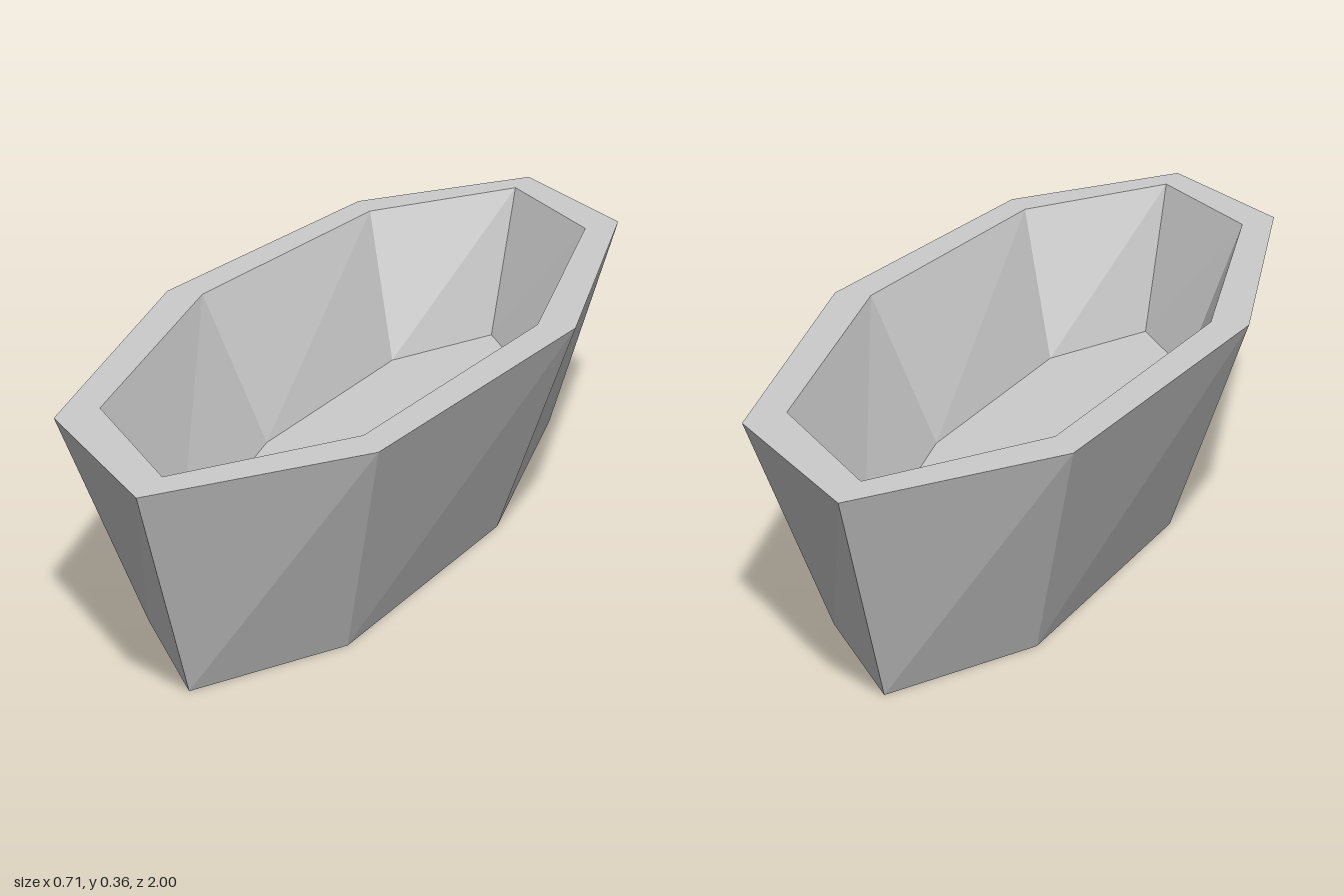
import * as THREE from 'three';

const SIDES = 8;
const HEIGHT = 0.357;
const FLOOR = 0.105;

// Eight-sided elliptical ring: half width, height, half length
function ring(rx, y, rz) {
  return Array.from({ length: SIDES }, (_, i) => {
    const a = (i / SIDES) * Math.PI * 2;
    return new THREE.Vector3(rx * Math.sin(a), y, rz * Math.cos(a));
  });
}

function facets(triangles) {
  const geometry = new THREE.BufferGeometry().setFromPoints(triangles);
  geometry.computeVertexNormals();
  return geometry;
}

// Band of faces joining two rings
function band(a, b) {
  const points = [];
  for (let i = 0; i < SIDES; i++) {
    const j = (i + 1) % SIDES;
    points.push(a[i], a[j], b[j], a[i], b[j], b[i]);
  }
  return facets(points);
}

// Flat lid across one ring
function cap(r, faceUp) {
  const points = [];
  for (let i = 1; i < SIDES - 1; i++) {
    points.push(r[0], ...(faceUp ? [r[i], r[i + 1]] : [r[i + 1], r[i]]));
  }
  return facets(points);
}

export function createModel() {
  const group = new THREE.Group();
  group.name = 'hollowVessel';
  const grey = new THREE.MeshStandardMaterial({ color: 0xcccccc, flatShading: true });
  grey.name = 'light grey';

  const base = ring(0.229, 0, 0.82);
  const outerRim = ring(0.357, HEIGHT, 1);
  const innerRim = ring(0.293, HEIGHT, 0.905);
  const floor = ring(0.18, FLOOR, 0.75);

  const parts = {
    underside: cap(base, false),
    outerHull: band(base, outerRim),
    rim: band(outerRim, innerRim),
    innerHull: band(innerRim, floor),
    floor: cap(floor, true),
  };
  for (const [name, geometry] of Object.entries(parts)) {
    const mesh = new THREE.Mesh(geometry, grey);
    mesh.name = name;
    group.add(mesh);
  }
  return group;
}
